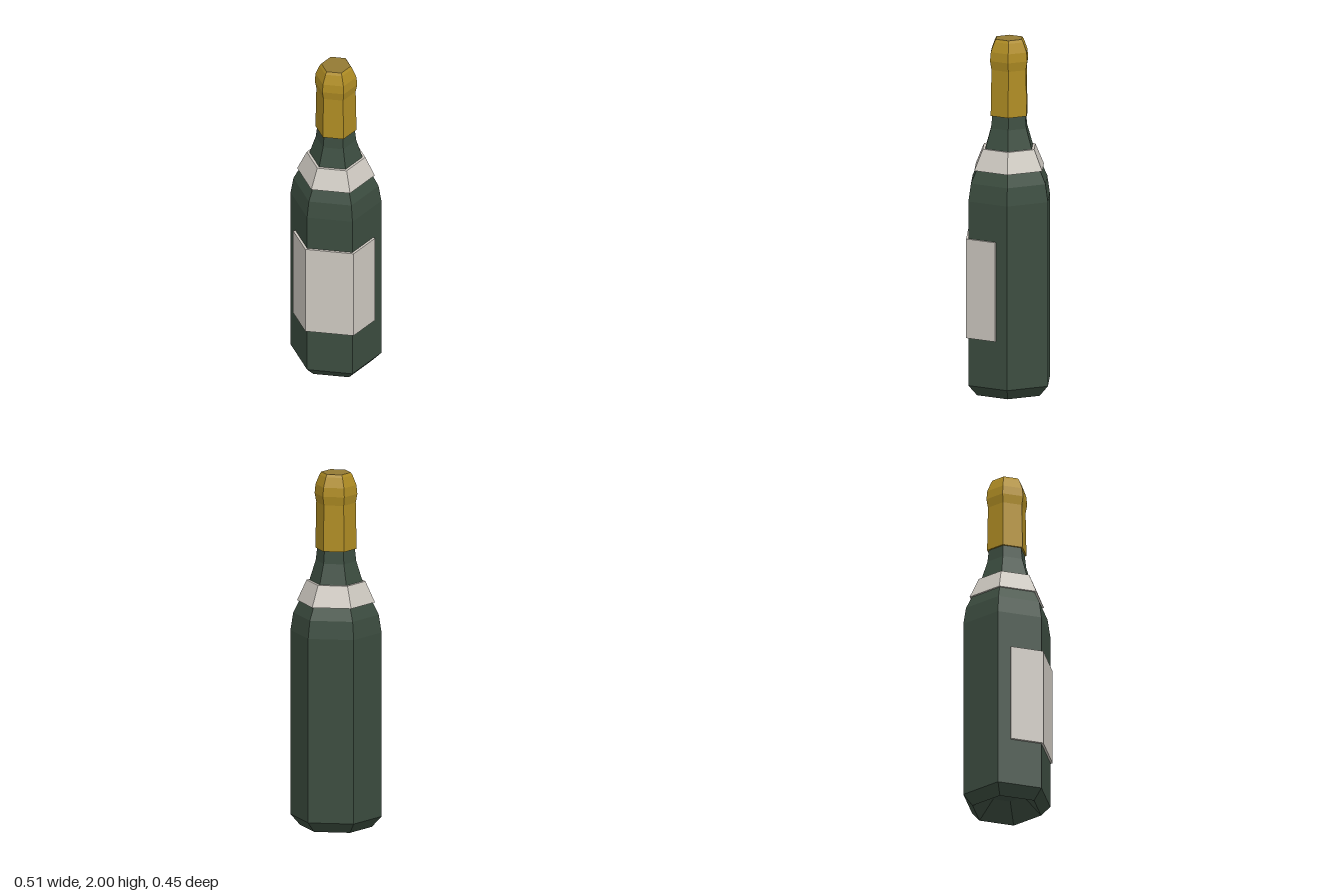
import * as THREE from 'three';

const SIDES = 6;
const CENTER_Z = -0.007;

function material(name, color) {
  const m = new THREE.MeshStandardMaterial({ color, flatShading: true });
  m.name = name;
  return m;
}

// Six-sided turned part; profile is [radius, height], corners on the x axis
function turned(name, profile, mat) {
  const points = profile.map(([r, y]) => new THREE.Vector2(r, y));
  const mesh = new THREE.Mesh(new THREE.LatheGeometry(points, SIDES, Math.PI / 2), mat);
  mesh.name = name;
  mesh.position.z = CENTER_Z;
  return mesh;
}

export function createModel() {
  const glass = material('dark green glass', 0x3c4d40);
  const foil = material('gold foil', 0xb08d24);
  const foilTop = material('dull gold top', 0x947a34);
  const paper = material('label paper', 0xcfcac2);

  const group = new THREE.Group();
  group.name = 'bottle';

  // Glass body with a hollow punt underneath
  group.add(turned('glassBody', [
    [0, 0.13], [0.1, 0.1], [0.2, 0], [0.254, 0.06], [0.254, 1.1], [0.238, 1.2],
    [0.204, 1.27], [0.147, 1.39], [0.113, 1.5], [0.105, 1.57], [0.1, 1.6],
  ], glass));

  // Foil wrapped round the neck and mouth
  group.add(turned('neckFoil', [
    [0.1, 1.57], [0.115, 1.57], [0.11, 1.83], [0.119, 1.88], [0.114, 1.93],
    [0.092, 1.985], [0.082, 2],
  ], foil));
  group.add(turned('foilTop', [[0.082, 2], [0, 2]], foilTop));

  // Paper collar on the shoulder
  group.add(turned('shoulderLabel', [
    [0.147, 1.385], [0.2, 1.27], [0.217, 1.27], [0.164, 1.387], [0.147, 1.387],
  ], paper));

  // Front label folded over three faces
  const outline = [
    [0.217, 0.055], [0.2295, 0.062], [0.135, 0.225],
    [-0.135, 0.225], [-0.2295, 0.062], [-0.217, 0.055],
    [-0.1265, 0.212], [0.1265, 0.212],
  ];
  const shape = new THREE.Shape(outline.map(([x, z]) => new THREE.Vector2(x, -z)));
  const labelGeometry = new THREE.ExtrudeGeometry(shape, { depth: 0.56, bevelEnabled: false });
  labelGeometry.rotateX(-Math.PI / 2);
  const label = new THREE.Mesh(labelGeometry, paper);
  label.name = 'frontLabel';
  label.position.y = 0.33;
  group.add(label);

  return group;
}
